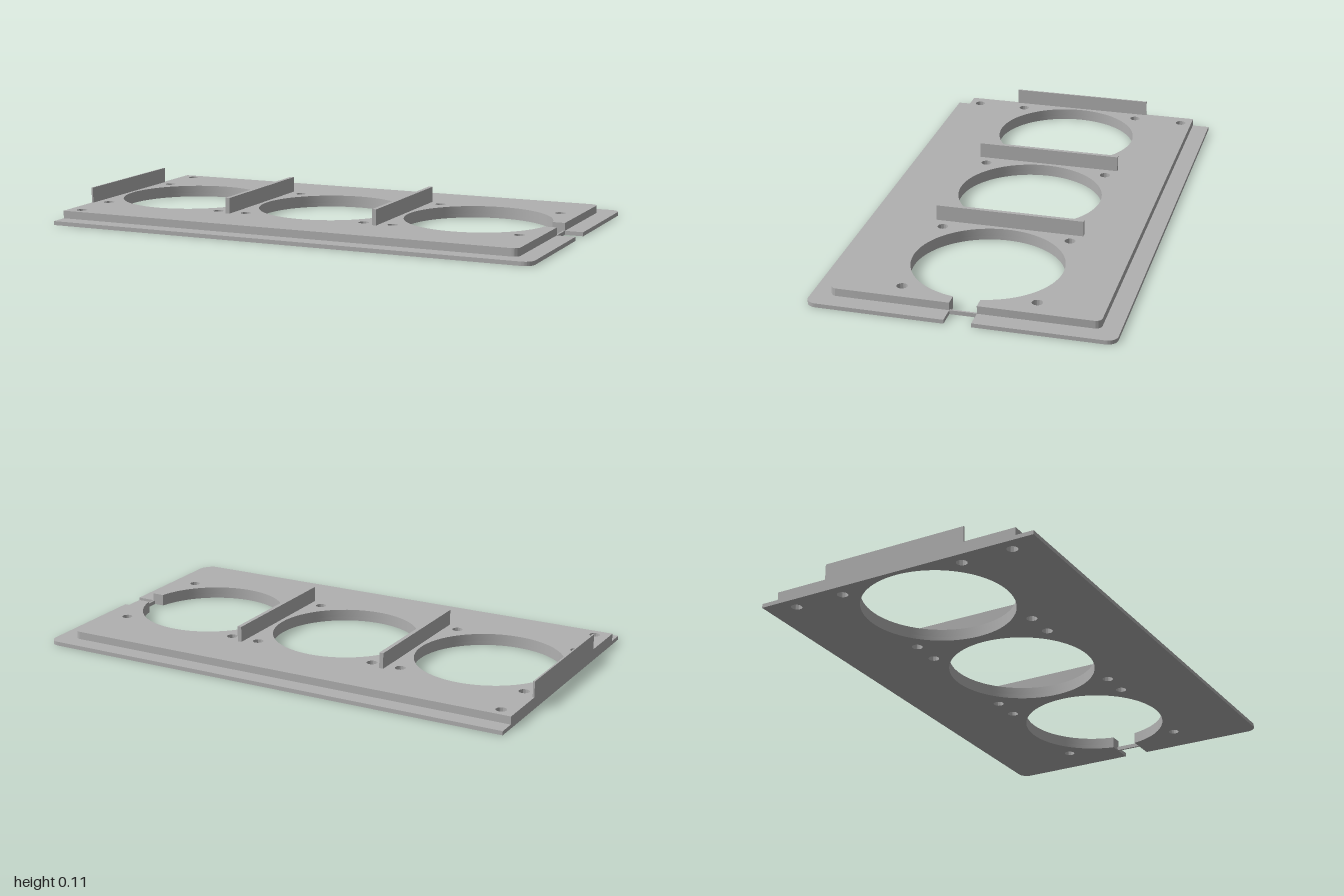
import * as THREE from 'three';
import { toCreasedNormals } from 'three/addons/utils/BufferGeometryUtils.js';

const CENTRES = [-0.685, -0.048, 0.588]; // x of the three large openings
const RADIUS = 0.293;
const SLOT = 0.052; // half width of the end slot

// Plate outline: square at -x, rounded at +x, with the slot running into the last opening
function plateShape(right, halfDepth, corner) {
  const s = new THREE.Shape();
  const a = Math.asin(SLOT / RADIUS);
  s.moveTo(-1, -halfDepth);
  s.lineTo(right - corner, -halfDepth);
  s.absarc(right - corner, -halfDepth + corner, corner, -Math.PI / 2, 0, false);
  s.lineTo(right, -SLOT);
  s.absarc(CENTRES[2], 0, RADIUS, -a, a - 2 * Math.PI, true);
  s.lineTo(right, SLOT);
  s.absarc(right - corner, halfDepth - corner, corner, 0, Math.PI / 2, false);
  s.lineTo(-1, halfDepth);
  s.closePath();

  const addHole = (x, z, r) => {
    const p = new THREE.Path();
    p.absarc(x, z, r, 0, Math.PI * 2, true);
    s.holes.push(p);
  };
  addHole(CENTRES[0], 0, RADIUS);
  addHole(CENTRES[1], 0, RADIUS);
  // Screw holes around every opening, plus two near the open end
  for (const sz of [-1, 1]) {
    for (const c of CENTRES) {
      for (const sx of [-1, 1]) addHole(c + sx * 0.257, sz * 0.257, 0.021);
    }
    addHole(-0.942, sz * 0.465, 0.021);
  }
  return s;
}

export function createModel() {
  const group = new THREE.Group();
  const grey = new THREE.MeshStandardMaterial({ color: 0xb0b0b0 });
  grey.name = 'grey';

  const add = (name, geometry) => {
    const mesh = new THREE.Mesh(geometry, grey);
    mesh.name = name;
    group.add(mesh);
    return mesh;
  };
  const plate = (name, shape, y0, y1) => {
    const g = new THREE.ExtrudeGeometry(shape, { depth: y1 - y0, bevelEnabled: false, curveSegments: 40 });
    g.rotateX(-Math.PI / 2);
    g.translate(0, y0, 0);
    add(name, toCreasedNormals(g, 0.6));
  };
  const box = (name, x0, x1, y0, y1, halfDepth) => {
    add(name, new THREE.BoxGeometry(x1 - x0, y1 - y0, halfDepth * 2))
      .position.set((x0 + x1) / 2, (y0 + y1) / 2, 0);
  };

  // Stepped plate
  plate('basePlate', plateShape(1, 0.582, 0.04), 0, 0.016);
  plate('raisedPlate', plateShape(0.926, 0.511, 0.026), 0.016, 0.047);

  // Thin strip across the slot
  box('slotBridge', 0.918, 0.926, 0, 0.016, SLOT);

  // Upright walls beside the openings
  box('endWall', -1, -0.993, 0.047, 0.11, 0.298);
  box('dividerWall1', -0.375, -0.358, 0.047, 0.11, 0.298);
  box('dividerWall2', 0.262, 0.279, 0.047, 0.11, 0.298);

  return group;
}
